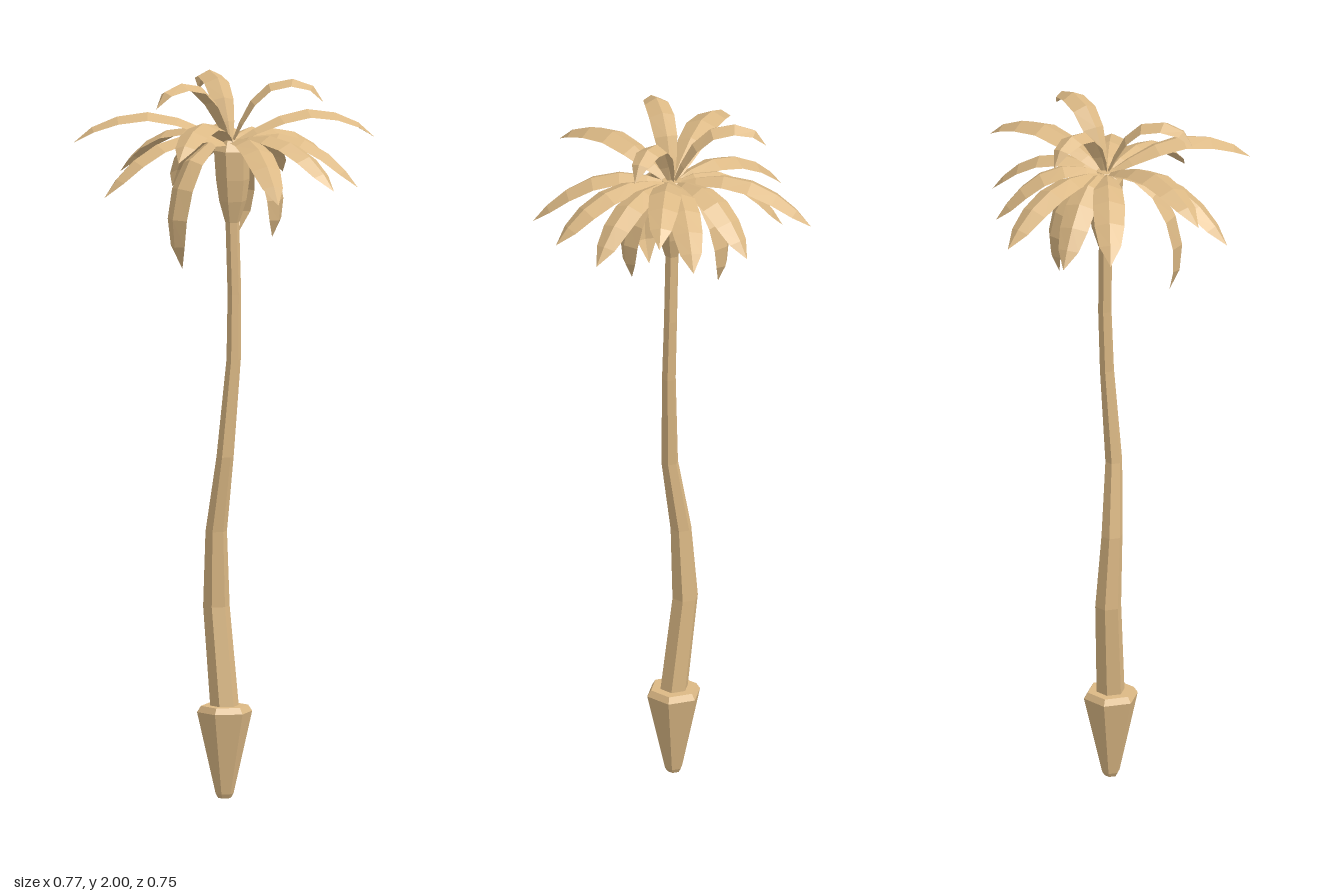
import * as THREE from 'three';

const material = new THREE.MeshStandardMaterial({ color: 0xdcb985, flatShading: true, side: THREE.DoubleSide });
const V = (x, y, z) => new THREE.Vector3(x, y, z);

// Joins rows of points (all the same length) into a faceted surface
function loft(name, rows) {
  const n = rows[0].length, index = [];
  for (let i = 0; i < rows.length - 1; i++) {
    for (let j = 0; j < n - 1; j++) {
      const a = i * n + j, b = a + n;
      index.push(a, b, a + 1, a + 1, b, b + 1);
    }
  }
  const geometry = new THREE.BufferGeometry().setFromPoints(rows.flat());
  geometry.setIndex(index);
  geometry.computeVertexNormals();
  const mesh = new THREE.Mesh(geometry, material);
  mesh.name = name;
  return mesh;
}

// Six-sided tube through rings of [x, y, z, radius], closed at both ends
function hexTube(name, rings) {
  const first = rings[0], last = rings[rings.length - 1];
  const all = [[...first.slice(0, 3), 0], ...rings, [...last.slice(0, 3), 0]];
  return loft(name, all.map(([x, y, z, r]) => Array.from({ length: 7 }, (_, k) => {
    const a = -k * Math.PI / 3;
    return V(x + r * Math.sin(a), y, z + r * Math.cos(a));
  })));
}

// Where all the fronds meet
const crown = V(0.023, 1.82, -0.038);

// Side profiles of a frond: [distance out, height], tip last
const profiles = {
  high: [[0, 0], [0.03, 0.075], [0.066, 0.135], [0.115, 0.172], [0.17, 0.18], [0.225, 0.162], [0.255, 0.115]],
  mid: [[0, 0], [0.1, 0.055], [0.2, 0.085], [0.29, 0.075], [0.36, 0.045], [0.41, 0]],
  low: [[0, 0], [0.1, 0.03], [0.19, 0.025], [0.27, -0.01], [0.33, -0.06], [0.37, -0.11]],
  droop: [[0, 0], [0.07, 0.01], [0.13, -0.04], [0.165, -0.13], [0.165, -0.21], [0.14, -0.27]],
};
const breadth = { high: 0.84, mid: 1.03, low: 1.03, droop: 1 };
const halfWidths = [0.008, 0.026, 0.039, 0.043, 0.04, 0.029, 0];
const ridges = [0.005, 0.012, 0.017, 0.018, 0.017, 0.012, 0];

// Roof-shaped leaf whose tip reaches (x, y, z)
function frond(kind, x, y, z) {
  const points = profiles[kind], tip = points[points.length - 1];
  const dx = x - crown.x, dz = z - crown.z, reach = Math.hypot(dx, dz);
  const out = V(dx / reach, 0, dz / reach), side = V(-out.z, 0, out.x);
  const drop = y - crown.y - tip[1];
  const curve = new THREE.CatmullRomCurve3(points.map(([r, h]) => {
    const t = r / tip[0];
    // droopers lengthen with depth, the others bend with distance
    const height = kind === 'droop' ? h * (h < 0 ? (y - crown.y) / tip[1] : 1) : h + drop * t * t;
    return crown.clone().addScaledVector(out, t * reach).add(V(0, height, 0));
  }));
  const stations = [0, 0.16, 0.34, 0.52, 0.7, 0.86, 1];
  return loft(kind + 'Frond', stations.map((t, i) => {
    const p = curve.getPointAt(t);
    const up = new THREE.Vector3().crossVectors(side, curve.getTangentAt(t)).normalize();
    if (up.dot(out) < 0 && up.y < 0) up.negate();
    const edge = (s) => p.clone()
      .addScaledVector(side, s * halfWidths[i] * breadth[kind])
      .addScaledVector(up, -ridges[i]);
    return [edge(-1), p, edge(1)];
  }));
}

export function createModel() {
  const model = new THREE.Group();
  model.name = 'palmTree';

  // Tapered root plug with a bevelled rim
  model.add(hexTube('rootPlug', [
    [0.007, 0, -0.03, 0.018], [0.007, 0.012, -0.03, 0.025],
    [0.007, 0.24, -0.03, 0.077], [0.007, 0.257, -0.03, 0.066],
  ]));

  // Gently swaying trunk
  model.add(hexTube('trunk', [
    [0.008, 0.24, -0.03, 0.04], [-0.023, 0.53, -0.046, 0.037], [-0.019, 0.74, -0.034, 0.03],
    [0.012, 0.95, -0.02, 0.024], [0.032, 1.22, -0.034, 0.02], [0.032, 1.4, -0.04, 0.019],
    [0.025, 1.63, -0.04, 0.019],
  ]));

  // Swollen crownshaft under the fronds
  model.add(hexTube('crownshaft', [
    [0.026, 1.6, -0.04, 0.02], [0.027, 1.66, -0.041, 0.038], [0.027, 1.72, -0.041, 0.047],
    [0.025, 1.8, -0.039, 0.05], [0.023, 1.83, -0.038, 0.028],
  ]));

  // Fronds in four tiers, by the position of each tip
  const tips = {
    high: [[0.267, 1.935, -0.112], [-0.145, 1.935, -0.235], [-0.12, 1.935, 0.17]],
    mid: [[0.02, 1.82, 0.372], [-0.385, 1.82, 0.11], [0.356, 1.82, -0.277]],
    low: [
      [0.382, 1.71, -0.072], [0.37, 1.72, 0.085], [0.27, 1.7, 0.255], [-0.25, 1.69, 0.23],
      [-0.335, 1.71, -0.127], [-0.22, 1.66, -0.23], [-0.172, 1.72, -0.375],
      [0.062, 1.7, -0.343], [0.24, 1.71, -0.302],
    ],
    droop: [[-0.062, 1.487, 0.118], [0.155, 1.57, -0.006], [-0.005, 1.555, -0.18]],
  };
  for (const kind in tips) {
    for (const tip of tips[kind]) model.add(frond(kind, ...tip));
  }
  return model;
}
